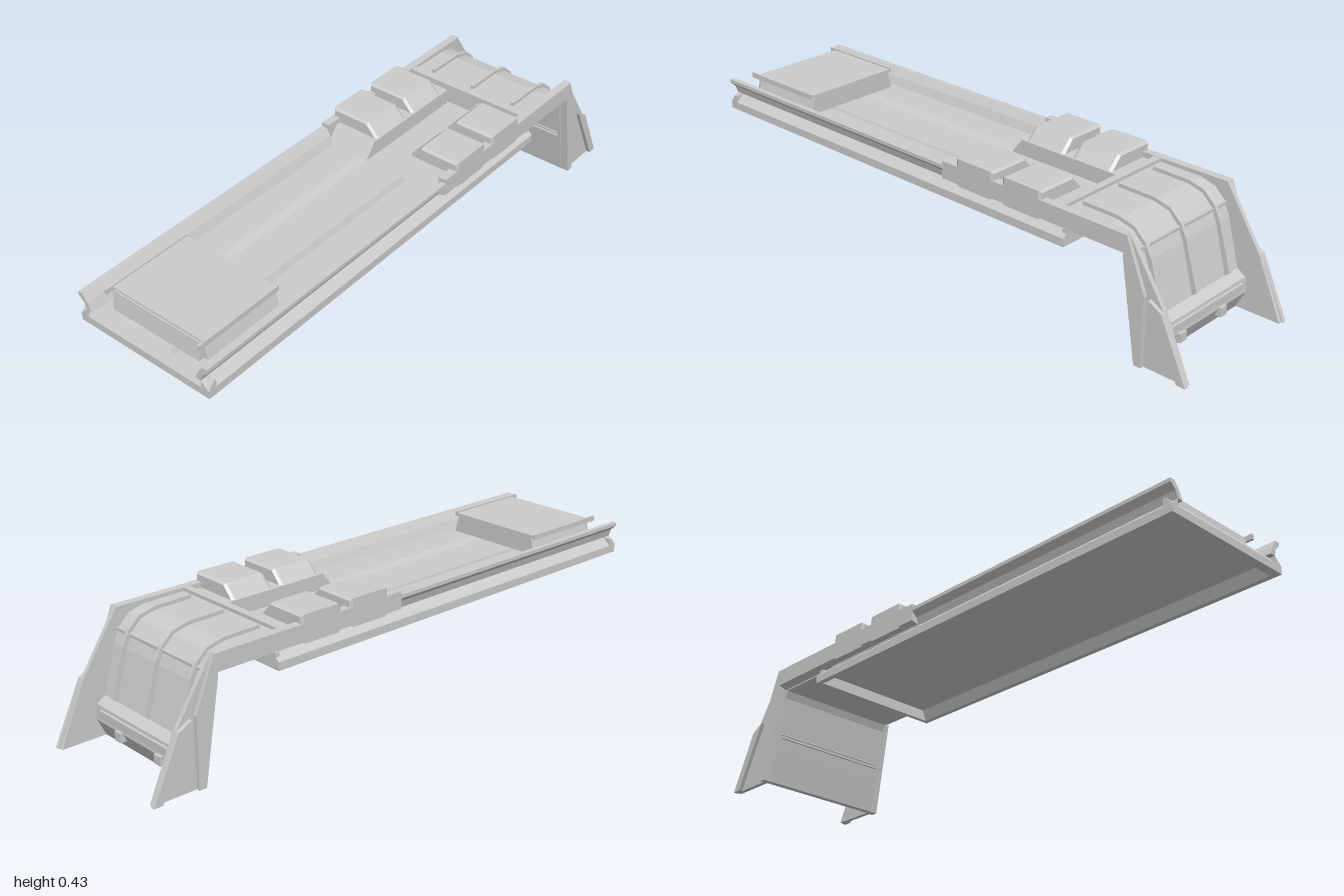
import * as THREE from 'three';

const material = new THREE.MeshStandardMaterial({ color: 0xcccccc, flatShading: true, side: THREE.DoubleSide });

export function createModel() {
  const model = new THREE.Group();

  const add = (name, geometry) => {
    const mesh = new THREE.Mesh(geometry, material);
    mesh.name = name;
    model.add(mesh);
    return mesh;
  };
  const shapeOf = (pts) => new THREE.Shape(pts.map(([a, b]) => new THREE.Vector2(a, b)));
  // Cross-section in (x, y), swept from z0 to z1
  const sweepZ = (name, pts, z0, z1) =>
    add(name, new THREE.ExtrudeGeometry(shapeOf(pts), { depth: z1 - z0, bevelEnabled: false }).translate(0, 0, z0));
  // Side profile in (z, y), swept from x0 to x1
  const sweepX = (name, pts, x0, x1) =>
    add(name, new THREE.ExtrudeGeometry(shapeOf(pts), { depth: x1 - x0, bevelEnabled: false })
      .rotateY(-Math.PI / 2).translate(x1, 0, 0));
  const box = (name, x0, x1, y0, y1, z0, z1) =>
    add(name, new THREE.BoxGeometry(x1 - x0, y1 - y0, z1 - z0)
      .translate((x0 + x1) / 2, (y0 + y1) / 2, (z0 + z1) / 2));
  const mirrorPts = (half) => [...half, ...half.map(([x, y]) => [-x, y]).reverse()];
  const sided = (pts, s) => pts.map(([x, y]) => [s * x, y]);

  // Deck: hollow underneath, shallow trough along the top
  sweepZ('deck', mirrorPts([[0.07, 0.315], [0.22, 0.315], [0.235, 0.278], [0.253, 0.278],
    [0.253, 0.305], [0.225, 0.33], [0.1, 0.33], [0.07, 0.323]]), -0.55, 0.98);
  sweepX('frontLip', [[0.97, 0.278], [1, 0.278], [1, 0.305], [0.98, 0.33], [0.97, 0.33]], -0.253, 0.253);
  box('deckBackWall', -0.24, 0.24, 0.278, 0.33, -0.55, -0.535);
  box('rearFloor', -0.225, 0.225, 0.325, 0.335, -0.78, -0.55);

  for (const s of [1, -1]) {
    // Rails with an outward leaning top edge
    const rail = (top) => sided([[0.225, 0.33], [0.233, 0.355], [0.253, top - 0.012], [0.253, top],
      [0.235, top], [0.218, 0.36], [0.205, 0.33]], s);
    sweepZ('frontRail', rail(0.385), -0.06, 1);
    sweepZ('rearRail', sided([[0.225, 0.33], [0.253, 0.34], [0.253, 0.398], [0.225, 0.398]], s), -0.775, -0.06);
    sweepZ('railSkirt', sided([[0.253, 0.278], [0.253, 0.305], [0.225, 0.33], [0.225, 0.3]], s), 0.97, 1);

    // Raised shoulder carrying two pods
    const [a, b] = s > 0 ? [0.065, 0.23] : [-0.23, -0.065];
    sweepX('shoulder', [[-0.06, 0.328], [-0.1, 0.38], [-0.5, 0.38], [-0.5, 0.328]], a, b);
    for (const z of [-0.195, -0.385]) {
      const pod = new THREE.ExtrudeGeometry(
        shapeOf(sided([[0.247, 0.34], [0.247, 0.419], [0.113, 0.419], [0.072, 0.375], [0.072, 0.34]], s)),
        { depth: 0.134, bevelSize: 0.006, bevelThickness: 0.01, bevelSegments: 1 });
      add('pod', pod.translate(0, 0, z - 0.067));
    }

    // Rear leg: slanted plate with a flared outer fin
    const [l0, l1] = s > 0 ? [0.225, 0.24] : [-0.24, -0.225];
    sweepX('rearLeg', [[-0.765, 0.33], [-0.775, 0.4], [-0.905, 0.2], [-0.995, 0], [-0.82, 0]], l0, l1);
    const [f0, f1] = s > 0 ? [0.238, 0.253] : [-0.253, -0.238];
    sweepX('legFrame', [[-0.765, 0.33], [-0.775, 0.4], [-0.845, 0.23], [-0.845, 0], [-0.82, 0]], f0, f1);
    sweepX('legFin', [[-0.86, 0.225], [-0.905, 0.2], [-1, 0], [-0.97, 0]], f0, f1);
  }

  // Front hatch with a thin cover and side strips
  sweepZ('hatch', mirrorPts([[0.185, 0.33], [0.17, 0.385], [0.165, 0.392]]), 0.64, 0.93);
  sweepX('hatchFront', [[0.92, 0.33], [0.95, 0.33], [0.94, 0.392], [0.92, 0.392]], -0.17, 0.17);
  box('hatchCover', -0.185, 0.185, 0.388, 0.398, 0.64, 0.935);
  for (const x of [-0.182, 0.182]) box('hatchStrip', x - 0.004, x + 0.004, 0.385, 0.403, 0.64, 0.96);

  // Cross beam in front of the tail
  box('crossBeam', -0.225, 0.225, 0.33, 0.397, -0.53, -0.505);

  // Tail: rounded panel curving down to a stepped foot
  const curve = [[-0.53, 0.386], [-0.68, 0.384], [-0.735, 0.37], [-0.77, 0.335], [-0.79, 0.29], [-0.835, 0.13]];
  sweepX('tailPanel', [...curve, [-0.865, 0.11], [-0.87, 0.06], [-0.84, 0], [-0.82, 0],
    [-0.795, 0.127], [-0.765, 0.3], [-0.75, 0.335], [-0.53, 0.335]], -0.225, 0.225);
  box('tailLedge', -0.2, 0.2, 0.075, 0.1, -0.875, -0.84);
  for (const x of [-0.1, 0.1]) box('foot', x - 0.015, x + 0.015, 0.035, 0.065, -0.88, -0.84);

  // Ribs following the tail panel
  const outer = curve.slice(1).map(([z, y], i) => [z - 0.004 * i, y + 0.012]);
  for (const x of [-0.165, 0, 0.165]) {
    sweepX('tailRib', [[-0.55, 0.38], [-0.55, 0.398], ...outer, ...curve.slice(1).reverse()], x - 0.006, x + 0.006);
  }

  // Thin slats on the inner face of the tail
  for (const y of [0.158, 0.17]) box('slat', -0.215, 0.215, y - 0.002, y + 0.002, -0.795, -0.783);

  return model;
}
